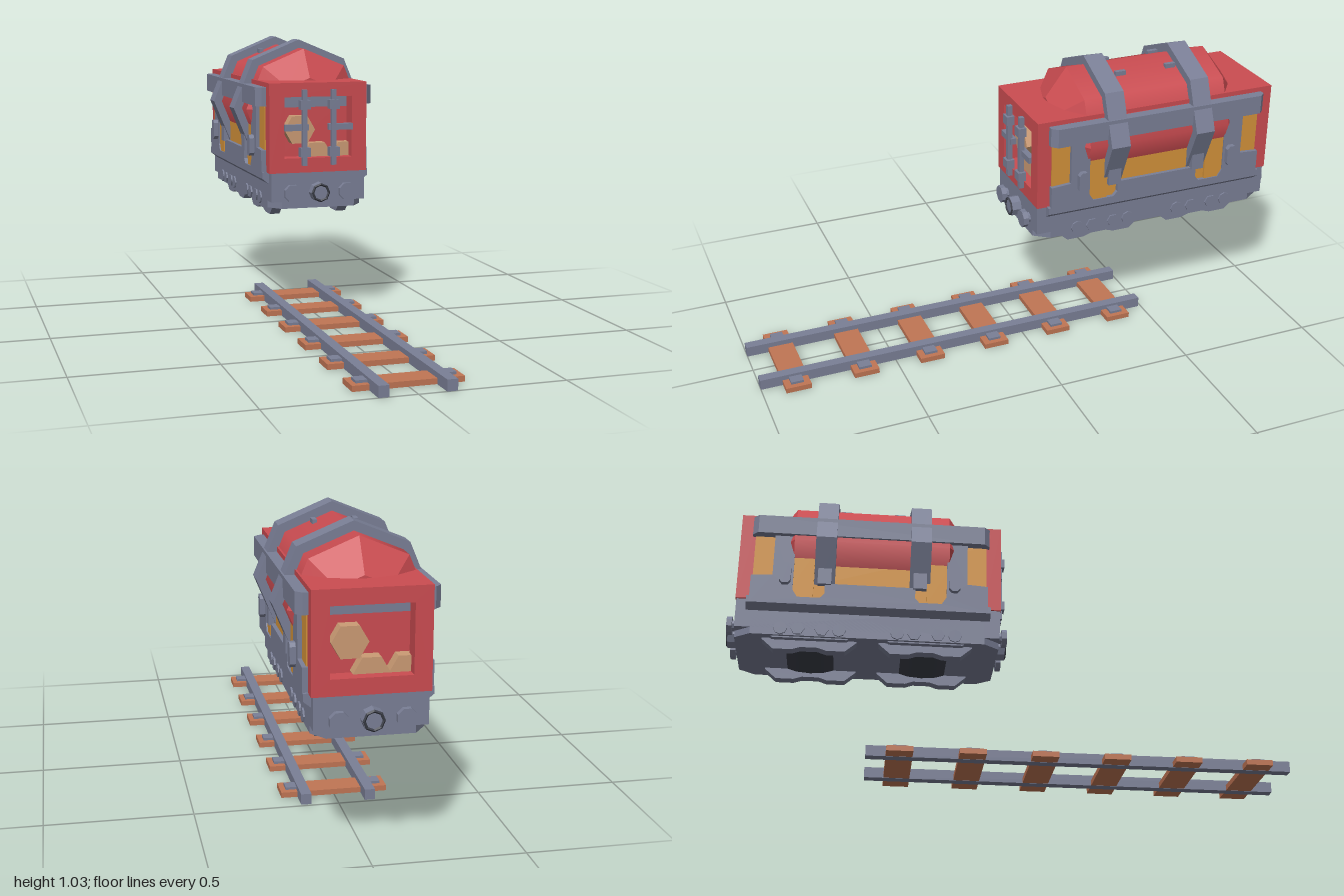
import * as THREE from 'three';

const mat = (name, color) => Object.assign(new THREE.MeshStandardMaterial({ color }), { name });

export function createModel() {
  const red = mat('red paint', 0xcb4c51), grey = mat('steel grey', 0x7a7f96), orange = mat('amber panel', 0xd3923a);
  const wood = mat('sleeper wood', 0xc07554), tan = mat('log tan', 0xcb9b74), dark = mat('dark steel', 0x3c3f49);
  const root = new THREE.Group();
  const sides = [1, -1];

  const add = (name, geo, m) => {
    const mesh = new THREE.Mesh(geo, m);
    mesh.name = name;
    root.add(mesh);
    return mesh;
  };
  const flat = (g) => {
    const f = g.index ? g.toNonIndexed() : g;
    f.computeVertexNormals();
    return f;
  };
  // box given by its limits on each axis
  const box = (name, m, x0, x1, y0, y1, z0, z1) =>
    add(name, new THREE.BoxGeometry(x1 - x0, y1 - y0, z1 - z0)
      .translate((x0 + x1) / 2, (y0 + y1) / 2, (z0 + z1) / 2), m);
  // box mirrored in x
  const pair = (name, m, x0, x1, ...rest) => {
    box(name, m, x0, x1, ...rest);
    box(name, m, -x1, -x0, ...rest);
  };
  const shapeOf = (pts) => new THREE.Shape(pts.map(([x, y]) => new THREE.Vector2(x, y)));
  const extrude = (shape, depth) => new THREE.ExtrudeGeometry(shape, { depth, bevelEnabled: false });
  // profile in (z, y), given thickness in x, mirrored to both sides
  const sidePlate = (name, m, pts, x0, x1, z) => {
    for (const s of sides) {
      add(name, extrude(shapeOf(pts), x1 - x0).rotateY(-Math.PI / 2)
        .translate(s > 0 ? x1 : -x0, 0, z), m);
    }
  };
  // faceted cylinder along z or x
  const rodZ = (name, m, r0, r1, n, x, y, z0, z1, turn = 0) =>
    add(name, flat(new THREE.CylinderGeometry(r1, r0, z1 - z0, n).rotateY(turn).rotateX(Math.PI / 2)
      .translate(x, y, (z0 + z1) / 2)), m);
  const rodX = (name, m, r, n, x0, x1, y, z) =>
    add(name, flat(new THREE.CylinderGeometry(r, r, x1 - x0, n).rotateZ(Math.PI / 2)
      .translate((x0 + x1) / 2, y, z)), m);
  const mirrorPts = (half) => [...half, ...half.slice().reverse().map(([a, b]) => [-a, b])];
  const MID = -0.5;

  // track
  pair('rail', grey, 0.094, 0.13, 0, 0.038, -0.49, 1);
  for (let i = 0; i < 6; i++) {
    const z = 0.875 - i * 0.25;
    box('sleeper', wood, -0.187, 0.187, 0.001, 0.02, z - 0.046, z + 0.046);
    pair('railClip', grey, 0.12, 0.168, 0.015, 0.029, z - 0.023, z + 0.023);
  }

  // chassis, with chamfered lower edges
  const hull = mirrorPts([[0.18, 0.44], [0.18, 0.505], [0.205, 0.525], [0.205, 0.55]]);
  add('chassis', extrude(shapeOf(hull), 0.86).translate(0, 0, -0.93), grey);
  const plan = [[0.18, -0.41], [0.18, 0.41], [0.14, 0.465], [-0.14, 0.465], [-0.18, 0.41], [-0.18, -0.41], [-0.14, -0.465], [0.14, -0.465]];
  add('underframe', extrude(shapeOf(plan), 0.13).rotateX(-Math.PI / 2).translate(0, 0.415, MID), grey);
  box('endBeam', grey, -0.18, 0.18, 0.44, 0.548, -0.965, -0.035);

  // buffers and couplings on both ends
  for (const e of sides) {
    const zr = (a, b) => (e > 0 ? [MID + a, MID + b] : [MID - b, MID - a]);
    for (const s of sides) {
      rodZ('bufferStem', grey, 0.02, 0.02, 8, s * 0.105, 0.475, ...zr(0.46, 0.49));
      rodZ('bufferHead', grey, 0.033, 0.033, 8, s * 0.105, 0.475, ...zr(0.478, 0.497), Math.PI / 8);
    }
    rodZ('coupling', grey, 0.037, 0.037, 8, 0, 0.475, ...zr(0.46, 0.5));
    add('couplingRing', flat(new THREE.TorusGeometry(0.031, 0.006, 4, 8).translate(0, 0.475, MID + e * 0.499)), dark);
  }

  // bogies
  const bogie = mirrorPts([[0.03, 0.385], [0.06, 0.375], [0.125, 0.375], [0.165, 0.41], [0.165, 0.445], [0.14, 0.49]]);
  const cover = mirrorPts([[0.02, 0.41], [0.13, 0.41], [0.148, 0.425], [0.148, 0.455], [0.13, 0.47], [0.02, 0.47]]);
  for (const z of [-0.296, -0.704]) {
    sidePlate('bogieFrame', grey, bogie, 0.112, 0.15, z);
    sidePlate('bogieCover', grey, cover, 0.145, 0.17, z);
    for (const dz of [-0.102, -0.042, 0.042, 0.102]) {
      for (const s of sides) {
        const n = Math.abs(dz) > 0.08 ? 8 : 6;
        rodX('axleBolt', grey, 0.024, n, s > 0 ? 0.165 : -0.186, s > 0 ? 0.186 : -0.165, 0.44, z + dz);
      }
    }
    add('wheelDrum', new THREE.CylinderGeometry(1, 1, 0.226, 16).rotateZ(Math.PI / 2)
      .scale(1, 0.06, 0.13).translate(0, 0.46, z), dark);
  }

  // body shell
  box('bodyCore', red, -0.17, 0.17, 0.54, 0.86, -0.88, -0.12);
  box('roof', red, -0.187, 0.187, 0.84, 0.88, -0.93, -0.07);
  pair('sidePanel', orange, 0.165, 0.192, 0.54, 0.8, -0.915, -0.085);
  for (const z of [-0.25, -0.75]) pair('tallPanel', orange, 0.19, 0.201, 0.55, 0.735, z - 0.05, z + 0.05);
  const skirt = mirrorPts([[0.42, 0.525], [0.42, 0.63], [0.345, 0.635], [0.345, 0.8], [0.272, 0.8], [0.272, 0.58],
    [0.255, 0.553], [0.175, 0.553], [0.16, 0.57], [0.16, 0.61]]);
  sidePlate('sideFrame', grey, skirt, 0.185, 0.206, MID);
  for (const z of [-0.2, -0.8]) {
    sidePlate('sideLatch', grey, [[0.02, 0.61], [0.02, 0.665], [0.01, 0.677], [-0.01, 0.677], [-0.02, 0.665], [-0.02, 0.61], [-0.01, 0.598], [0.01, 0.598]], 0.2, 0.225, z);
  }

  // side belt, chamfered at its ends
  const belt = [[0.18, -0.425], [0.205, -0.425], [0.225, -0.405], [0.225, 0.405], [0.205, 0.425], [0.18, 0.425]];
  for (const s of sides) {
    const pts = belt.map(([x, z]) => [s * x, z]);
    add('sideBelt', extrude(shapeOf(pts), 0.07).rotateX(-Math.PI / 2).translate(0, 0.793, MID), grey);
  }

  // open end frames with logs behind them
  for (const e of sides) {
    const frame = shapeOf([[-0.187, 0.548], [0.187, 0.548], [0.187, 0.88], [-0.187, 0.88]]);
    frame.holes.push(new THREE.Path([[-0.13, 0.602], [-0.13, 0.828], [0.13, 0.828], [0.13, 0.602]].map(([x, y]) => new THREE.Vector2(x, y))));
    add('endFrame', extrude(frame, 0.06).translate(0, 0, e > 0 ? -0.092 : -0.968), red);
    const zr = (a, b) => (e > 0 ? [MID + a, MID + b] : [MID - b, MID - a]);
    box('endWall', red, -0.185, 0.185, 0.55, 0.85, ...zr(0.37, 0.385));
    box('lintel', grey, -0.15, 0.15, 0.785, 0.84, ...zr(0.38, 0.405));
    for (const [x, y] of [[-0.06, 0.703], [0.008, 0.602], [0.12, 0.602]]) {
      rodZ('log', tan, 0.059, 0.059, 6, e * x, y, ...zr(0.36, 0.43), Math.PI / 6 + Math.PI / 3);
    }
  }

  // front bars
  for (const s of sides) {
    const x = s * 0.056;
    box('bar', grey, x - 0.009, x + 0.009, 0.575, 0.855, -0.032, -0.014);
    for (const y of [0.8, 0.625]) box('barClamp', grey, x - 0.019, x + 0.019, y - 0.017, y + 0.017, -0.036, -0.006);
    box('crossBar', grey, s * 0.085 - 0.046, s * 0.085 + 0.046, 0.704, 0.727, -0.045, -0.022);
  }

  // tank with tapered ends
  const tank = (name, r0, r1, z0, z1, open) => new THREE.CylinderGeometry(r1, r0, z1 - z0, 8, 1, open)
    .rotateX(Math.PI / 2).translate(0, 0.77, (z0 + z1) / 2);
  add('tankBarrel', tank('b', 0.226, 0.226, -0.775, -0.22, true), red);
  add('tankFrontCap', flat(tank('f', 0.226, 0.12, -0.22, -0.14, false)), red);
  add('tankBackCap', flat(tank('r', 0.12, 0.226, -0.855, -0.775, false)), red);
  for (const z of [-0.4, -0.6]) {
    pair('tankBolt', grey, 0.062, 0.078, 0.95, 0.98, z - 0.02, z + 0.02);
  }

  // straps around the tank, with hooks
  const octagon = (r) => Array.from({ length: 8 }, (_, i) => new THREE.Vector2(r * Math.cos(i * Math.PI / 4), r * Math.sin(i * Math.PI / 4)));
  for (const z of [-0.324, -0.662]) {
    const ring = new THREE.Shape(octagon(0.258));
    ring.holes.push(new THREE.Path(octagon(0.222).reverse()));
    add('strap', extrude(ring, 0.073).translate(0, 0.77, z - 0.0365), grey);
    pair('strapHook', grey, 0.195, 0.215, 0.605, 0.67, z - 0.024, z + 0.024);
  }
  return root;
}
